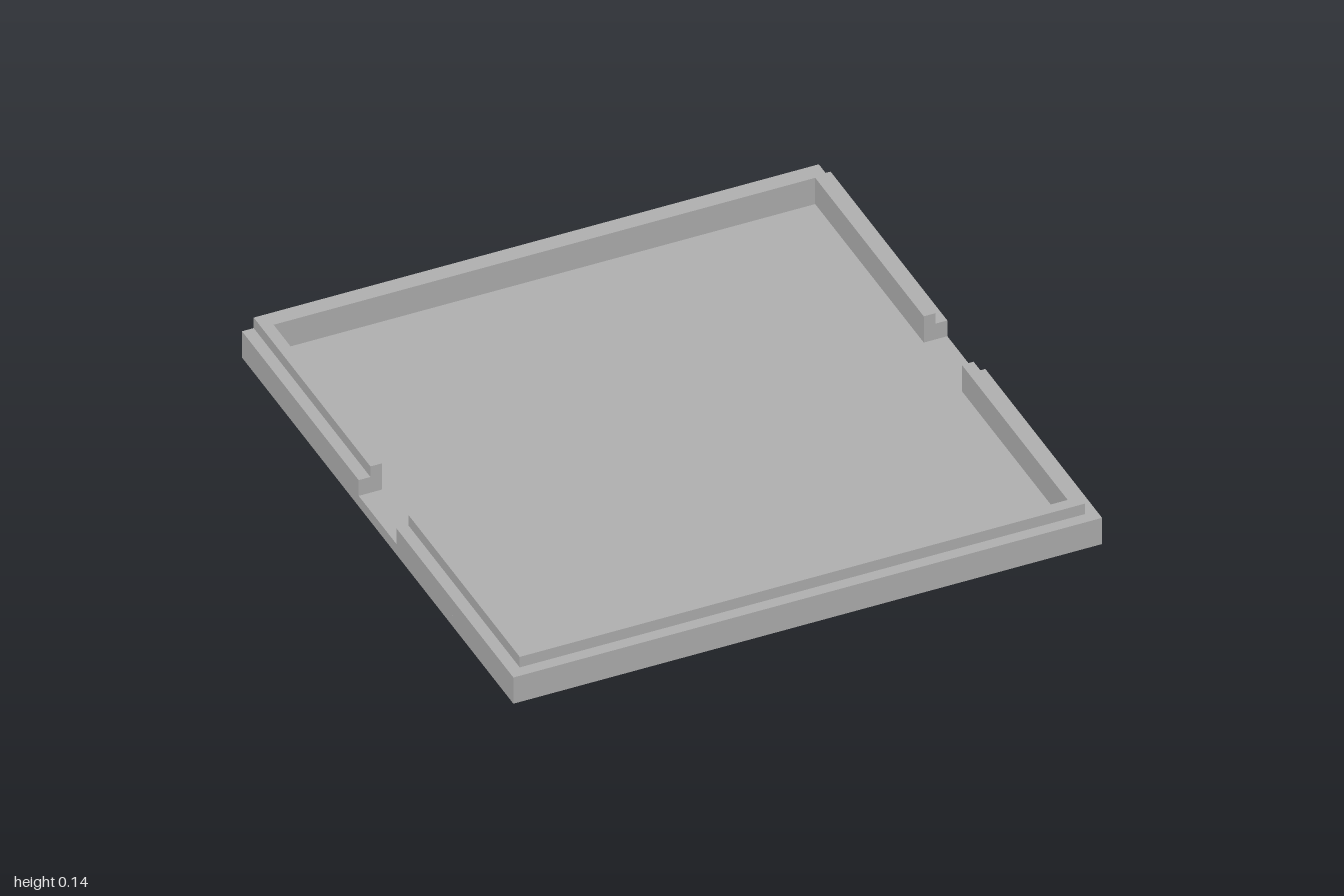
import * as THREE from 'three';

const GAP = 0.14;      // half width of the side notches
const INNER = 0.92;    // inner face of the side and front walls
const LIP = 0.96;      // outer face of the raised lip
const BACK = -0.94;    // inner face of the back wall

const rect = (C, x0, z0, x1, z1) => {
  const p = new C();
  p.moveTo(x0, -z0);
  p.lineTo(x1, -z0);
  p.lineTo(x1, -z1);
  p.lineTo(x0, -z1);
  p.closePath();
  return p;
};

// U-shaped plan opening towards the notches
const uShape = (outerX, outerZ, innerZ, gapZ) => new THREE.Shape([
  [-outerX, gapZ], [-outerX, outerZ], [outerX, outerZ], [outerX, gapZ],
  [INNER, gapZ], [INNER, innerZ], [-INNER, innerZ], [-INNER, gapZ],
].map(([x, z]) => new THREE.Vector2(x, -z)));

export function createModel() {
  const group = new THREE.Group();
  const grey = new THREE.MeshStandardMaterial({ color: 0xb2b2b2 });
  grey.name = 'grey';

  // Raise a plan shape from y0 to y1
  const slab = (name, shape, y0, y1) => {
    const geo = new THREE.ExtrudeGeometry(shape, { depth: y1 - y0, bevelEnabled: false });
    geo.rotateX(-Math.PI / 2);
    geo.translate(0, y0, 0);
    const mesh = new THREE.Mesh(geo, grey);
    mesh.name = name;
    group.add(mesh);
  };

  // Base, with two shallow pockets in the floor
  slab('base', rect(THREE.Shape, -1, -1, 1, 1), 0, 0.02);
  const floor = rect(THREE.Shape, -1, -1, 1, 1);
  for (const x of [-0.5, 0.5]) {
    floor.holes.push(rect(THREE.Path, x - 0.107, 0.03, x + 0.107, 0.14));
  }
  slab('floor', floor, 0.02, 0.04);

  // Walls and their raised lips; the back lip is flush with the back face
  slab('frontWall', uShape(1, 1, INNER, GAP), 0.04, 0.1);
  slab('frontLip', uShape(LIP, LIP, INNER, GAP), 0.1, 0.14);
  slab('backWall', uShape(1, -1, BACK, -GAP), 0.04, 0.1);
  slab('backLip', uShape(LIP, -1, BACK, -GAP), 0.1, 0.14);

  return group;
}
